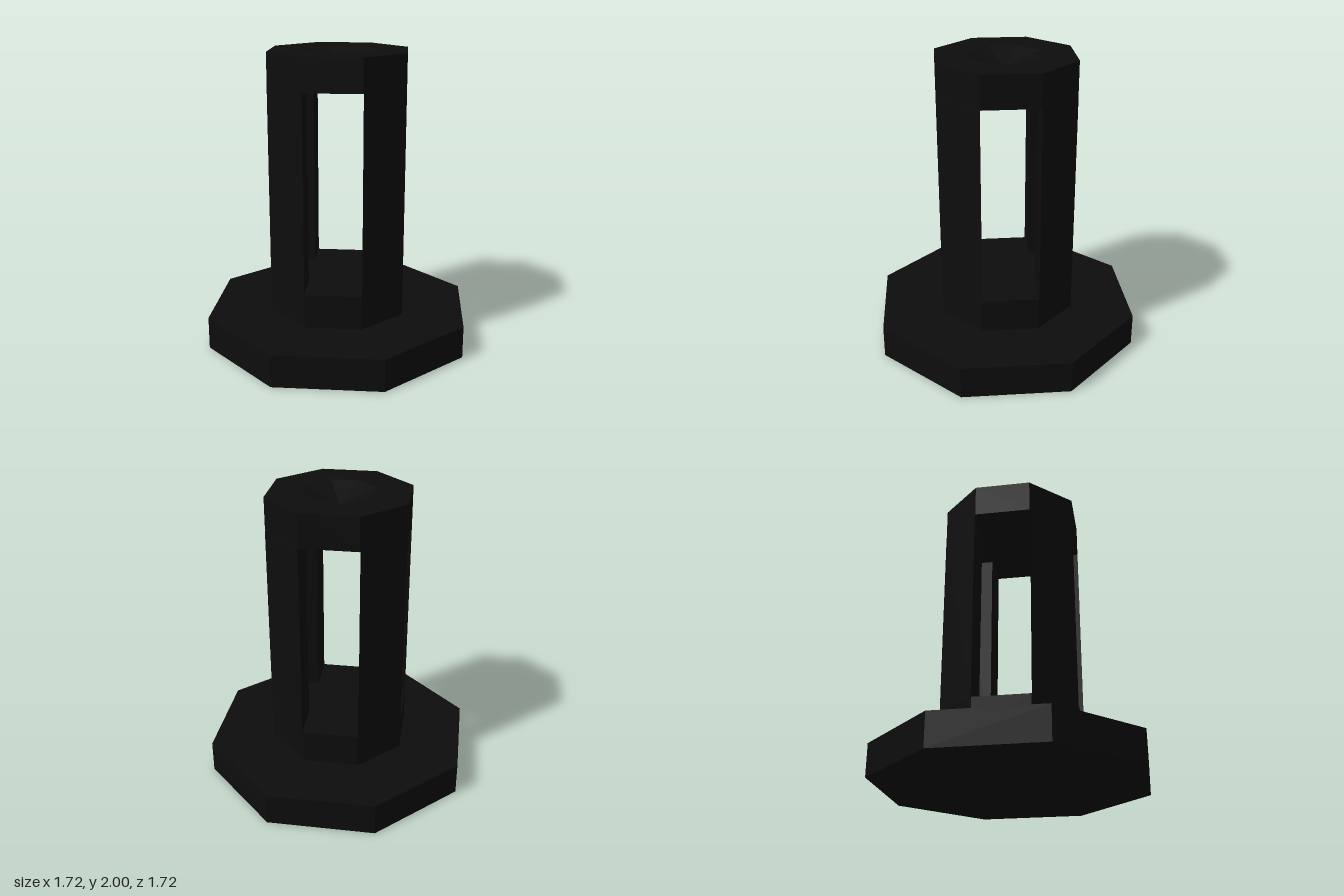
import * as THREE from 'three';

const BASE_APOTHEM = 0.86, BODY_APOTHEM = 0.45, HALF_SIDE = 0.19;
const BASE_TOP = 0.22, SILL = 0.45, LINTEL = 1.78, TOP = 2;
const radius = (apothem) => apothem / Math.cos(Math.PI / 8);

export function createModel() {
  const model = new THREE.Group();
  const black = new THREE.MeshStandardMaterial({ color: 0x0d0d0d });
  black.name = 'black';

  // Adds a mesh with flat facets
  function add(name, geometry) {
    const flat = geometry.index ? geometry.toNonIndexed() : geometry;
    flat.computeVertexNormals();
    const mesh = new THREE.Mesh(flat, black);
    mesh.name = name;
    model.add(mesh);
    return mesh;
  }

  // Octagonal prism with flat sides facing the axes
  function octagon(name, apothem, bottom, top) {
    const r = radius(apothem);
    add(name, new THREE.CylinderGeometry(r, r, top - bottom, 8)
      .rotateY(Math.PI / 8).translate(0, (top + bottom) / 2, 0));
  }

  octagon('base', BASE_APOTHEM, 0, BASE_TOP);
  octagon('collar', BODY_APOTHEM, BASE_TOP, SILL);

  // Triangular corner posts, leaving an open window on each of four sides
  const section = new THREE.Shape([
    new THREE.Vector2(HALF_SIDE, HALF_SIDE),
    new THREE.Vector2(BODY_APOTHEM, HALF_SIDE),
    new THREE.Vector2(HALF_SIDE, BODY_APOTHEM),
  ]);
  for (let i = 0; i < 4; i++) {
    add('post' + (i + 1), new THREE.ExtrudeGeometry(section, { depth: LINTEL - SILL, bevelEnabled: false })
      .rotateX(-Math.PI / 2).translate(0, SILL, 0).rotateY(i * Math.PI / 2));
  }

  // Cap with a shallow faceted dimple in its top
  const r = radius(BODY_APOTHEM);
  const profile = [[0, LINTEL], [r, LINTEL], [r, TOP], [radius(0.23), TOP], [0, TOP - 0.09]]
    .map(([x, y]) => new THREE.Vector2(x, y));
  add('cap', new THREE.LatheGeometry(profile, 8).rotateY(Math.PI / 8));

  return model;
}
